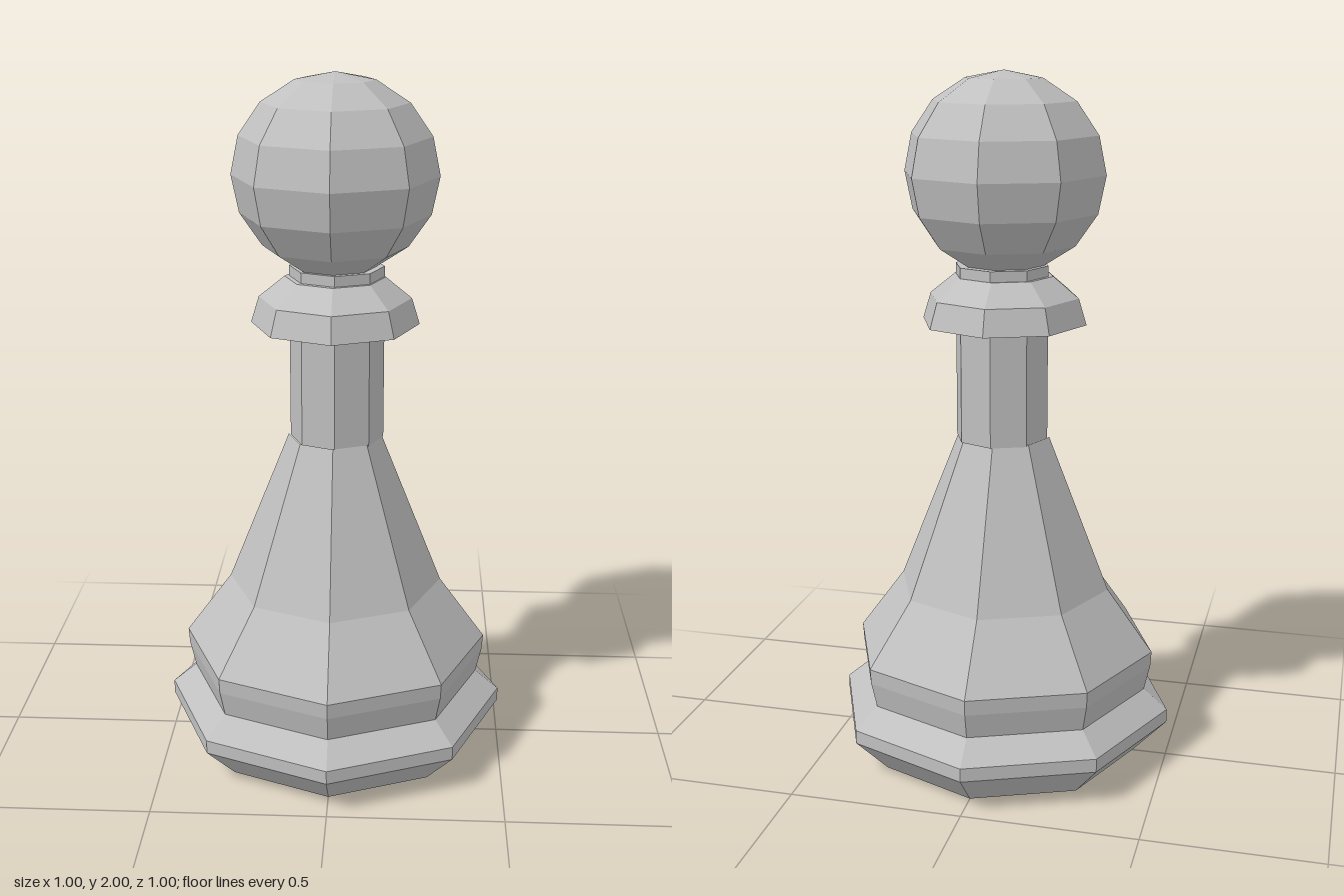
import * as THREE from 'three';

const SIDES = 8;

export function createModel() {
  const model = new THREE.Group();
  model.name = 'chessPawn';
  const grey = new THREE.MeshStandardMaterial({ color: 0xc0c0c0, flatShading: true });
  grey.name = 'grey';

  const add = (name, geometry, x = 0, y = 0, z = 0) => {
    const mesh = new THREE.Mesh(geometry, grey);
    mesh.name = name;
    mesh.position.set(x, y, z);
    model.add(mesh);
    return mesh;
  };
  // Eight-sided turned part from [radius, height] pairs, bottom to top
  const turned = (points) =>
    new THREE.LatheGeometry(points.map(([r, y]) => new THREE.Vector2(r, y)), SIDES);

  // Foot with a bevelled rim
  add('base', turned([[0, 0], [0.4, 0], [0.5, 0.105], [0.5, 0.145], [0.43, 0.205]]));

  // Bulging skirt tapering up to the shaft
  add('body', turned([[0.43, 0.205], [0.447, 0.28], [0.45, 0.325], [0.315, 0.51], [0.135, 0.965]]));

  // Slim shaft, running through the collar to the head
  add('shaft', turned([[0.135, 0.96], [0.135, 1.465], [0, 1.465]]), 0.005, 0, -0.005);

  // Flared collar
  add('collar', turned([[0.1, 1.3], [0.24, 1.3], [0.217, 1.375], [0.143, 1.435], [0.1, 1.435]]));

  // Faceted ball
  add('head', new THREE.SphereGeometry(0.29, SIDES, 8), 0, 1.72, 0).scale.y = 0.28 / 0.29;

  return model;
}
